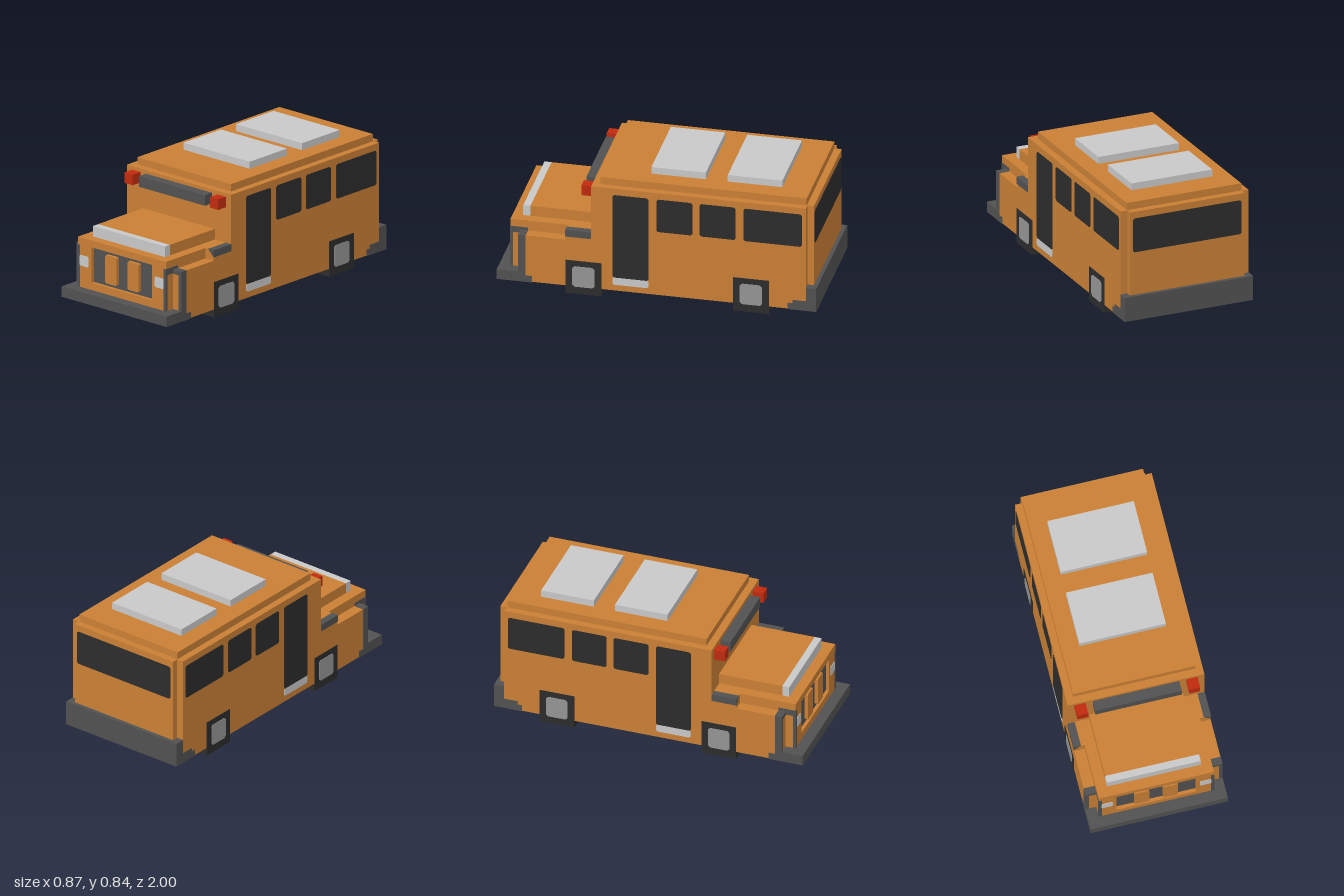
import * as THREE from 'three';

const mat = (name, color) => Object.assign(new THREE.MeshStandardMaterial({ color }), { name });

export function createModel() {
  const orange = mat('orange paint', 0xc97f35);
  const dark = mat('dark grey trim', 0x515151);
  const black = mat('black glass and rubber', 0x2c2c2c);
  const silver = mat('light grey', 0xc8c8c8);
  const hub = mat('hub grey', 0x949494);
  const red = mat('red lamp', 0xc02a0e);
  const bus = new THREE.Group();
  bus.name = 'bus';

  const add = (name, geo, m) => {
    const mesh = new THREE.Mesh(geo, m);
    mesh.name = name;
    bus.add(mesh);
    return mesh;
  };
  // box given by its limits on each axis
  const box = (name, m, x0, x1, y0, y1, z0, z1) => {
    const mesh = add(name, new THREE.BoxGeometry(x1 - x0, y1 - y0, z1 - z0), m);
    mesh.position.set((x0 + x1) / 2, (y0 + y1) / 2, (z0 + z1) / 2);
    return mesh;
  };
  // the same box on both sides
  const pair = (name, m, x0, x1, ...rest) => {
    box(name + 'Left', m, x0, x1, ...rest);
    box(name + 'Right', m, -x1, -x0, ...rest);
  };
  // rectangle outline with cut corners
  const panel = (u0, u1, v0, v1, c, Type = THREE.Shape) => new Type([
    [u0 + c, v0], [u1 - c, v0], [u1, v0 + c], [u1, v1 - c],
    [u1 - c, v1], [u0 + c, v1], [u0, v1 - c], [u0, v0 + c],
  ].map(p => new THREE.Vector2(...p)));
  const extrude = (shape, depth) => new THREE.ExtrudeGeometry(shape, { depth, bevelEnabled: false });
  // thin plate on both side walls, limits in z and y
  const sidePlate = (name, m, z0, z1, y0, y1, c = 0.01, x = 0.43, t = 0.003) => {
    for (const s of [1, -1]) {
      const geo = extrude(panel(-z1, -z0, y0, y1, c), t);
      geo.rotateY(Math.PI / 2);
      if (s < 0) geo.translate(-x - t, 0, 0);
      else geo.translate(x, 0, 0);
      add(name + (s > 0 ? 'Left' : 'Right'), geo, m);
    }
  };

  // cabin and roof
  box('cabin', orange, -0.43, 0.43, 0.05, 0.75, -0.935, 0.41);
  box('rearWall', orange, -0.385, 0.385, 0.05, 0.75, -0.975, -0.935);
  box('roof', orange, -0.385, 0.385, 0.75, 0.797, -0.93, 0.362);
  box('roofVentFront', silver, -0.272, 0.272, 0.797, 0.842, -0.273, 0.068);
  box('roofVentRear', silver, -0.272, 0.272, 0.797, 0.842, -0.752, -0.41);
  box('signBar', dark, -0.272, 0.272, 0.66, 0.728, 0.41, 0.475);
  pair('warningLamp', red, 0.318, 0.386, 0.66, 0.728, 0.41, 0.48);

  // windows and doors
  for (const [i, [z0, z1]] of [[-0.225, 0], [-0.495, -0.27], [-0.91, -0.545]].entries())
    sidePlate('sideWindow' + (i + 1), black, z0, z1, 0.485, 0.707);
  sidePlate('doorGlass', black, 0.05, 0.275, 0.14, 0.707);
  sidePlate('doorStep', silver, 0.05, 0.275, 0.09, 0.14);
  const rearGlass = add('rearWindow', extrude(panel(-0.365, 0.365, 0.485, 0.707, 0.01), 0.003), black);
  rearGlass.position.z = -0.978;

  // nose, with a recess for the grille
  box('nose', orange, -0.362, 0.362, 0.05, 0.432, 0.41, 0.905);
  const face = panel(-0.362, 0.362, 0.05, 0.432, 0);
  face.holes.push(panel(-0.25, 0.25, 0.16, 0.388, 0, THREE.Path));
  add('noseFace', extrude(face, 0.025), orange).position.z = 0.905;
  box('grille', dark, -0.25, 0.25, 0.16, 0.388, 0.903, 0.908);
  for (const s of [1, -1]) {
    const side = s > 0 ? 'Left' : 'Right';
    const bar = panel(s * 0.091 - 0.046, s * 0.091 + 0.046, 0.183, 0.365, 0.006);
    add('grilleBar' + side, extrude(bar, 0.022), orange).position.z = 0.908;
    const lamp = panel(s * 0.309 - 0.036, s * 0.309 + 0.036, 0.252, 0.32, 0.007);
    add('headlight' + side, extrude(lamp, 0.003), silver).position.z = 0.93;
    // dark cap on the outer edge of the cowl
    const tri = new THREE.Shape([[0.386, 0.433], [0.432, 0.387], [0.432, 0.433]]
      .map(([x, y]) => new THREE.Vector2(s * x, y)));
    add('cowlCap' + side, extrude(tri, 0.161), dark).position.z = 0.411;
  }
  box('hood', orange, -0.295, 0.295, 0.432, 0.5, 0.41, 0.82);
  box('hoodFront', silver, -0.295, 0.295, 0.432, 0.5, 0.82, 0.865);

  // fenders and their trim
  pair('cowl', orange, 0.362, 0.43, 0.05, 0.432, 0.41, 0.57);
  pair('fender', orange, 0.362, 0.43, 0.05, 0.365, 0.57, 0.865);
  pair('fenderTopTrim', dark, 0.362, 0.432, 0.364, 0.367, 0.82, 0.867);
  pair('fenderSideTrim', dark, 0.43, 0.432, 0.11, 0.367, 0.82, 0.867);
  pair('fenderFrontTrim', dark, 0.41, 0.432, 0.11, 0.365, 0.865, 0.867);
  pair('fenderBrowTrim', dark, 0.362, 0.41, 0.341, 0.365, 0.865, 0.867);
  pair('noseCornerTrim', dark, 0.344, 0.364, 0.11, 0.385, 0.915, 0.932);
  pair('noseBrowTrim', dark, 0.362, 0.364, 0.345, 0.385, 0.82, 0.93);

  // bumpers
  box('frontBumper', dark, -0.432, 0.432, 0.046, 0.113, 0.93, 1);
  pair('frontBumperEnd', dark, 0.362, 0.432, 0.046, 0.113, 0.82, 0.93);
  pair('frontBumperTip', dark, 0.41, 0.432, 0.046, 0.09, 0.78, 0.82);
  box('rearBumper', dark, -0.432, 0.432, 0.047, 0.205, -1, -0.935);
  pair('rearBumperEnd', dark, 0.385, 0.432, 0.047, 0.113, -0.935, -0.85);
  pair('rearBumperTip', dark, 0.41, 0.432, 0.047, 0.09, -0.85, -0.82);

  // wheels and axles
  for (const [end, z] of [['front', 0.457], ['rear', -0.592]]) {
    pair(end + 'Wheel', black, 0.205, 0.433, 0, 0.227, z - 0.112, z + 0.112);
    sidePlate(end + 'Hub', hub, z - 0.07, z + 0.07, 0.05, 0.19, 0.014, 0.433);
    box(end + 'AxleBed', black, -0.205, 0.205, 0.047, 0.052, z - 0.112, z + 0.112);
    box(end + 'Axle', hub, -0.205, 0.205, 0.045, 0.05, z - 0.07, z + 0.07);
  }
  return bus;
}
